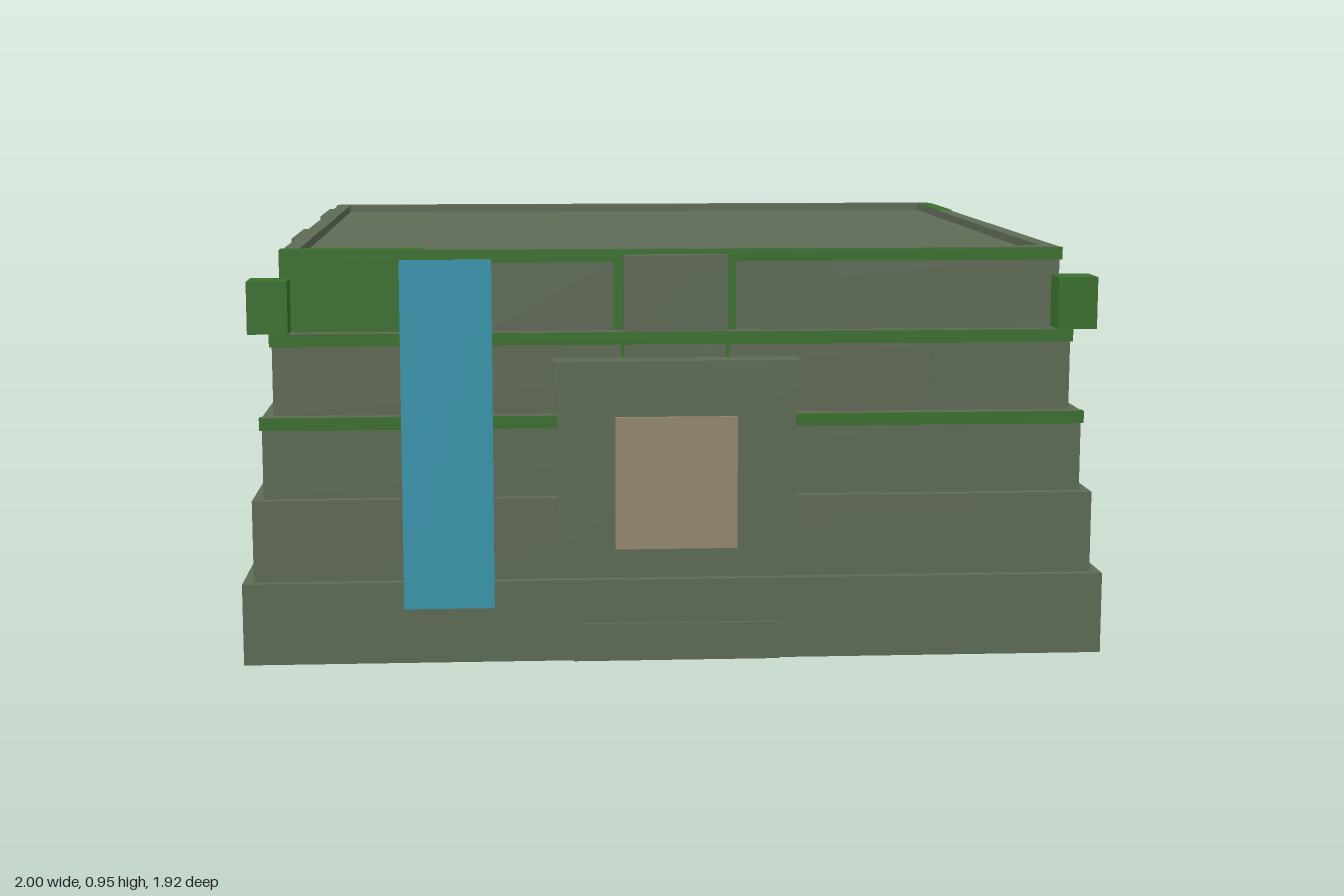
import * as THREE from 'three';

const makeMaterial = (name, color) => {
  const m = new THREE.MeshStandardMaterial({ color });
  m.name = name;
  return m;
};

export function createModel() {
  const model = new THREE.Group();
  model.name = 'steppedBuilding';
  const stone = makeMaterial('mossy stone', 0x5f6b56);
  const green = makeMaterial('leaf green', 0x3a702d);
  const tan = makeMaterial('door tan', 0x95886c);
  const blue = makeMaterial('banner blue', 0x3796ae);

  // Box given by its lower and upper corners
  const block = (name, mat, x0, x1, y0, y1, z0, z1) => {
    const mesh = new THREE.Mesh(new THREE.BoxGeometry(x1 - x0, y1 - y0, z1 - z0), mat);
    mesh.position.set((x0 + x1) / 2, (y0 + y1) / 2, (z0 + z1) / 2);
    mesh.name = name;
    model.add(mesh);
    return mesh;
  };

  // Stepped tiers, with green bands along the upper front and back edges
  const H = 0.19, ZC = -0.006;
  for (let i = 0; i < 5; i++) {
    const hx = 1 - i * 0.0245, hz = 0.952 - i * 0.0235;
    const y0 = i * H, y1 = y0 + H;
    block('tier' + (i + 1), stone, -hx, hx, y0, i === 4 ? y1 - 0.02 : y1, ZC - hz, ZC + hz);
    if (i > 0) {
      const bx = hx + 0.006, back = ZC - hz, front = ZC + hz;
      block('backBand', green, -bx, bx, y1 - 0.03, y1 - 0.001, back - 0.004, back + 0.02);
      if (i > 1) block('frontBand', green, -bx, bx, y1 - 0.03, y1 - 0.001, front - 0.02, front + 0.004);
    }
  }

  // Low parapet around the sunken roof
  for (const s of [-1, 1]) {
    block('sideParapet', stone, s * 0.8835 - 0.0185, s * 0.8835 + 0.0185, 0.92, 0.95, -0.864, 0.852);
  }
  block('backParapet', stone, -0.9, 0.9, 0.92, 0.95, -0.864, -0.82);
  block('frontParapet', stone, -0.9, 0.9, 0.92, 0.95, 0.808, 0.852);

  // Corner cubes
  for (const s of [-1, 1]) {
    for (const z of [-0.892, 0.88]) {
      block('cornerCube', green, s * 0.93 - 0.046, s * 0.93 + 0.046, 0.765, 0.885, z - 0.046, z + 0.046);
    }
  }

  // Wall panels of the top tier
  block('greenSidePanel', green, 0.865, 0.908, 0.768, 0.951, -0.815, -0.492);
  block('greenFrontPanel', green, -0.908, -0.58, 0.762, 0.951, 0.806, 0.856);
  for (const z of [-0.63, 0.18]) {
    block('stoneSidePanel', stone, -0.912, -0.865, 0.768, 0.951, z, z + 0.328);
  }
  block('stoneFrontPanel', stone, 0.14, 0.37, 0.77, 0.92, 0.81, 0.856);
  block('stoneFrontPanel', stone, -0.42, -0.145, 0.77, 0.92, 0.81, 0.856);
  block('stoneLowerPanel', stone, 0.6, 0.922, 0.585, 0.73, 0.85, 0.878);

  // Block above the entrance with its green backing
  block('crestBacking', green, -0.142, 0.142, 0.762, 0.921, 0.84, 0.862);
  block('crestBlock', stone, -0.12, 0.12, 0.762, 0.938, 0.865, 0.898);
  block('lowerCrestBacking', green, -0.126, 0.126, 0.69, 0.731, 0.86, 0.879);
  block('lowerCrest', stone, -0.118, 0.118, 0.69, 0.73, 0.86, 0.882);

  // Entrance
  block('doorFrame', stone, -0.275, 0.275, 0.26, 0.64, 0.86, 0.938);
  block('doorLintel', stone, -0.283, 0.283, 0.635, 0.7, 0.86, 0.945);
  block('door', tan, -0.142, 0.14, 0.262, 0.57, 0.938, 0.947);
  block('doorStep', stone, -0.24, 0.24, 0, 0.088, 0.94, 0.955);

  // Hanging banner
  block('banner', blue, -0.63, -0.422, 0.13, 0.935, 0.951, 0.958);

  return model;
}
